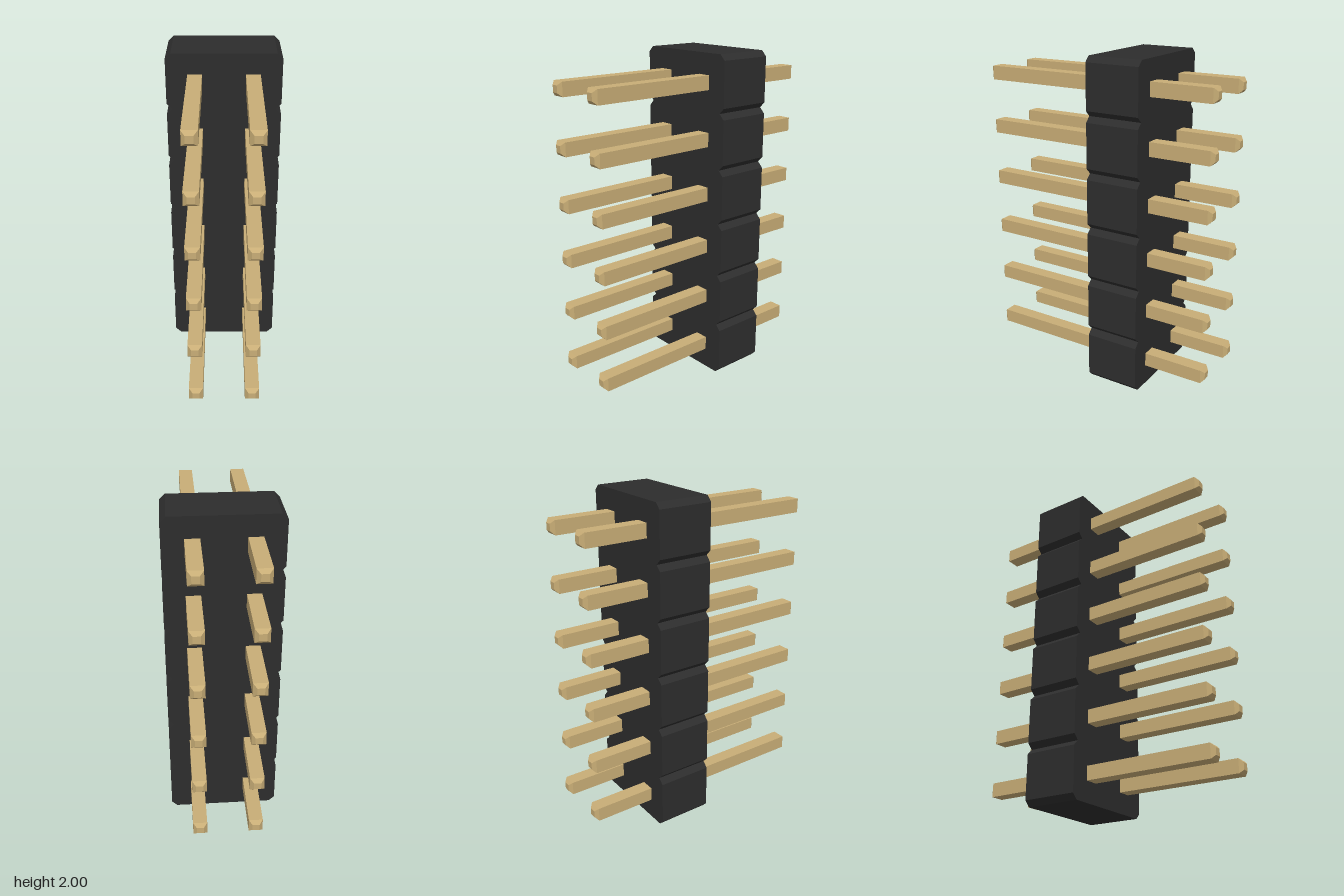
import * as THREE from 'three';

const ROWS = 6, PITCH = 1 / 3, HALF_W = 1 / 3, CHAMFER = 0.033;
const BACK = -0.363, DEPTH = 0.333;

// Housing outline: a stack of cells with chamfered corners, leaving V notches between them
function housingGeometry() {
  const right = [];
  for (let i = 0; i < ROWS; i++) {
    const y0 = i * PITCH, y1 = y0 + PITCH;
    right.push([HALF_W - CHAMFER, y0], [HALF_W, y0 + CHAMFER], [HALF_W, y1 - CHAMFER]);
  }
  right.push([HALF_W - CHAMFER, ROWS * PITCH]);
  const left = right.map(([x, y]) => [-x, y]).reverse();
  const shape = new THREE.Shape([...right, ...left].map(([x, y]) => new THREE.Vector2(x, y)));
  const geo = new THREE.ExtrudeGeometry(shape, { depth: DEPTH, bevelEnabled: false });
  return geo.translate(0, 0, BACK);
}

// Square pin along z with tapered ends: a four-sided lathe with flat faces
function pinGeometry() {
  const r = 0.042 * Math.SQRT2, tip = 0.021 * Math.SQRT2, end = 0.755, taper = 0.021;
  const profile = [
    [0, -end], [tip, -end], [r, -end + taper], [r, end - taper], [tip, end], [0, end],
  ].map(([x, y]) => new THREE.Vector2(x, y));
  const geo = new THREE.LatheGeometry(profile, 4, Math.PI / 4).toNonIndexed();
  geo.rotateX(Math.PI / 2);
  geo.computeVertexNormals();
  return geo;
}

export function createModel() {
  const black = new THREE.MeshStandardMaterial({ color: 0x2d2d2d });
  black.name = 'black plastic';
  const gold = new THREE.MeshStandardMaterial({ color: 0xc8ad76 });
  gold.name = 'gold metal';

  const model = new THREE.Group();
  model.name = 'pinHeader';

  const housing = new THREE.Mesh(housingGeometry(), black);
  housing.name = 'housing';
  model.add(housing);

  // Two columns of pins, one pair per cell
  const pins = new THREE.Group();
  pins.name = 'pins';
  const geo = pinGeometry();
  for (let row = 0; row < ROWS; row++) {
    for (const side of [-1, 1]) {
      const pin = new THREE.Mesh(geo, gold);
      pin.name = `${side > 0 ? 'left' : 'right'}Pin${row + 1}`;
      pin.position.set(side * PITCH / 2, (row + 0.5) * PITCH, 0);
      pins.add(pin);
    }
  }
  model.add(pins);
  return model;
}
